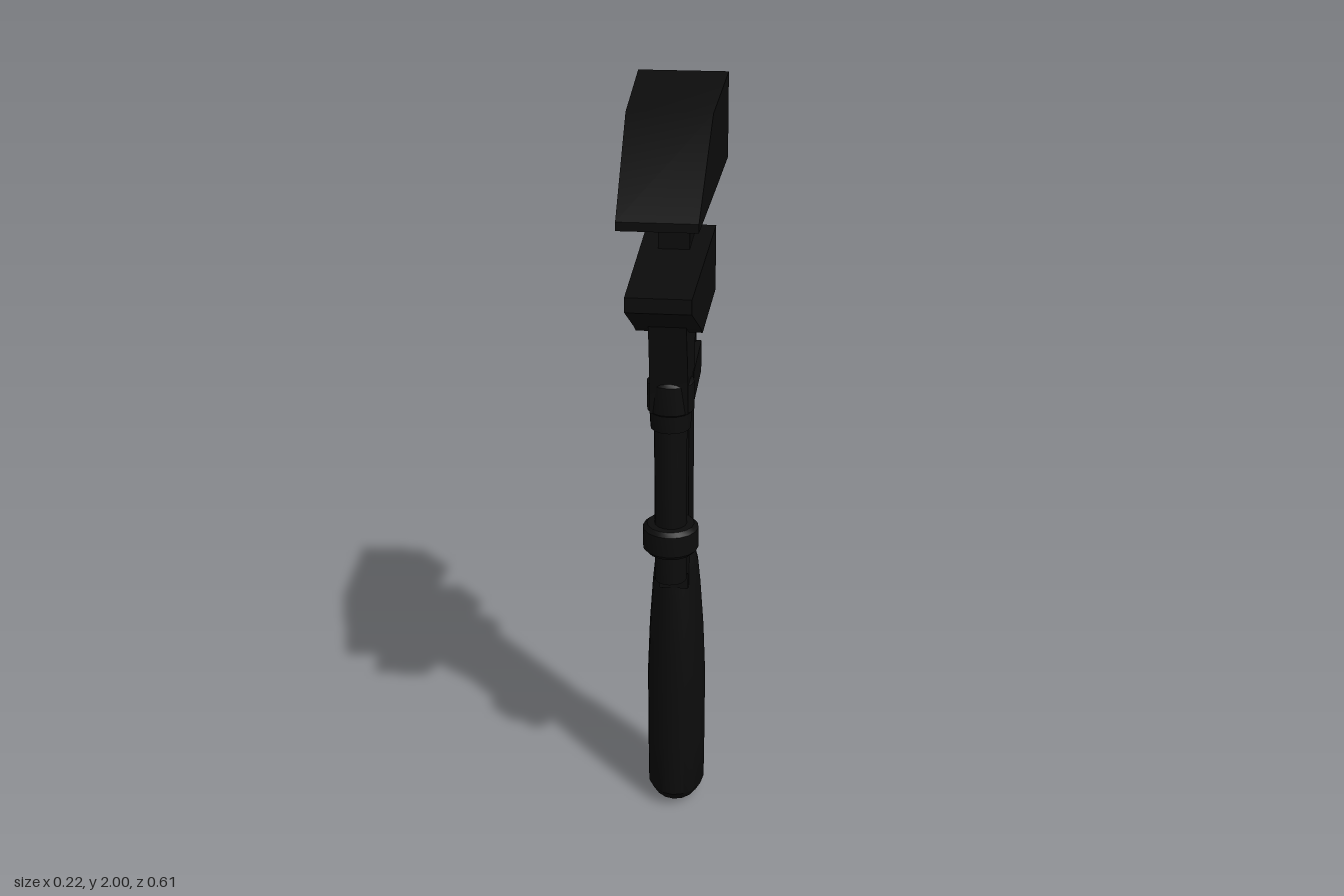
import * as THREE from 'three';
import { toCreasedNormals } from 'three/addons/utils/BufferGeometryUtils.js';

const material = new THREE.MeshStandardMaterial({ color: 0x0c0c0c });

function part(group, name, geometry) {
  const mesh = new THREE.Mesh(toCreasedNormals(geometry, 0.6), material);
  mesh.name = name;
  group.add(mesh);
  return mesh;
}

// Side profile of [z, y] points, given thickness across x; half width runs from back to front
function sideProfile(points, backHalf, frontHalf = backHalf) {
  const shape = new THREE.Shape(points.map(([z, y]) => new THREE.Vector2(z, y)));
  const geo = new THREE.ExtrudeGeometry(shape, { depth: 2, bevelEnabled: false });
  geo.translate(0, 0, -1).rotateY(-Math.PI / 2);
  const zs = points.map((p) => p[0]);
  const back = Math.min(...zs), front = Math.max(...zs);
  const pos = geo.attributes.position;
  for (let i = 0; i < pos.count; i++) {
    const t = (pos.getZ(i) - back) / (front - back);
    pos.setX(i, pos.getX(i) * THREE.MathUtils.lerp(backHalf, frontHalf, t));
  }
  return geo;
}

// Turned part from [radius, y] points around a vertical axis at z
function turned(points, z, sides = 16) {
  const geo = new THREE.LatheGeometry(points.map(([r, y]) => new THREE.Vector2(r, y)), sides);
  return geo.translate(0, 0, z);
}

// Oval loft: each ring is [y, half width x, back z, front z]
function ovalLoft(rings, sides = 16) {
  const geo = new THREE.LatheGeometry(rings.map((r, i) => new THREE.Vector2(1, i)), sides);
  const pos = geo.attributes.position;
  for (let i = 0; i < pos.count; i++) {
    const [y, rx, back, front] = rings[Math.round(pos.getY(i))];
    pos.setXYZ(i, pos.getX(i) * rx, y, (back + front) / 2 + pos.getZ(i) * (front - back) / 2);
  }
  return geo;
}

export function createModel() {
  const wrench = new THREE.Group();
  wrench.name = 'adjustableWrench';
  const screwZ = 0.013;

  // Fixed upper jaw with hammer-like head, wider at the back
  part(wrench, 'upperJaw', sideProfile([
    [-0.305, 1.79], [-0.07, 1.785], [0.305, 1.78], [0.305, 1.8], [0.04, 1.975], [-0.295, 2],
  ], 0.11, 0.09));

  // Flat bar joining the head to the handle
  part(wrench, 'shaft', sideProfile([
    [-0.217, 0.7], [-0.066, 0.7], [-0.062, 1.82], [-0.215, 1.82],
  ], 0.038));

  // Sliding lower jaw
  part(wrench, 'lowerJaw', sideProfile([
    [-0.265, 1.46], [0.05, 1.46], [0.1, 1.49], [0.29, 1.59], [0.29, 1.625], [-0.265, 1.628],
  ], 0.086, 0.075));

  // Neck under the sliding jaw
  part(wrench, 'jawNeck', sideProfile([
    [-0.07, 1.25], [0.055, 1.25], [0.062, 1.33], [0.075, 1.4], [0.097, 1.49], [-0.07, 1.49],
  ], 0.052, 0.045));

  // Collar around the shaft, and the curved strip tying it to the jaw
  part(wrench, 'shaftCollar', sideProfile([
    [-0.248, 1.245], [-0.03, 1.245], [-0.03, 1.328], [-0.248, 1.328],
  ], 0.053));
  part(wrench, 'backStrip', sideProfile([
    [-0.24, 1.32], [-0.23, 1.36], [-0.226, 1.4], [-0.228, 1.43], [-0.22, 1.47],
    [-0.252, 1.47], [-0.24, 1.43], [-0.236, 1.4], [-0.24, 1.36], [-0.248, 1.32],
  ], 0.04));

  // Threaded barrel in the front of the collar
  part(wrench, 'screwBarrel', turned([
    [0, 1.2], [0.05, 1.2], [0.052, 1.245], [0.058, 1.25], [0.058, 1.322], [0.05, 1.33], [0, 1.33],
  ], screwZ));

  // Adjusting screw and its thumb wheel
  part(wrench, 'adjustingScrew', turned([
    [0, 0.775], [0.041, 0.775], [0.041, 1.25], [0, 1.25],
  ], screwZ));
  part(wrench, 'thumbWheel', turned([
    [0, 0.858], [0.06, 0.858], [0.071, 0.87], [0.071, 0.925], [0.06, 0.935], [0, 0.935],
  ], screwZ));

  // Bracket holding the foot of the screw
  part(wrench, 'screwBracket', sideProfile([
    [-0.15, 0.72], [-0.07, 0.742], [-0.045, 0.758], [0, 0.775], [0.02, 0.775], [0.02, 0.845], [-0.15, 0.845],
  ], 0.038));

  // Oval handle swelling towards a rounded butt
  part(wrench, 'handle', ovalLoft([
    [0, 0, -0.145, -0.145],
    [0.004, 0.025, -0.18, -0.11],
    [0.02, 0.062, -0.226, -0.065],
    [0.05, 0.078, -0.248, -0.043],
    [0.2, 0.079, -0.25, -0.042],
    [0.4, 0.079, -0.249, -0.045],
    [0.55, 0.073, -0.243, -0.052],
    [0.68, 0.064, -0.23, -0.065],
    [0.74, 0.058, -0.224, -0.072],
    [0.77, 0.05, -0.22, -0.075],
    [0.785, 0.038, -0.217, -0.08],
    [0.785, 0, -0.145, -0.145],
  ]));

  return wrench;
}
